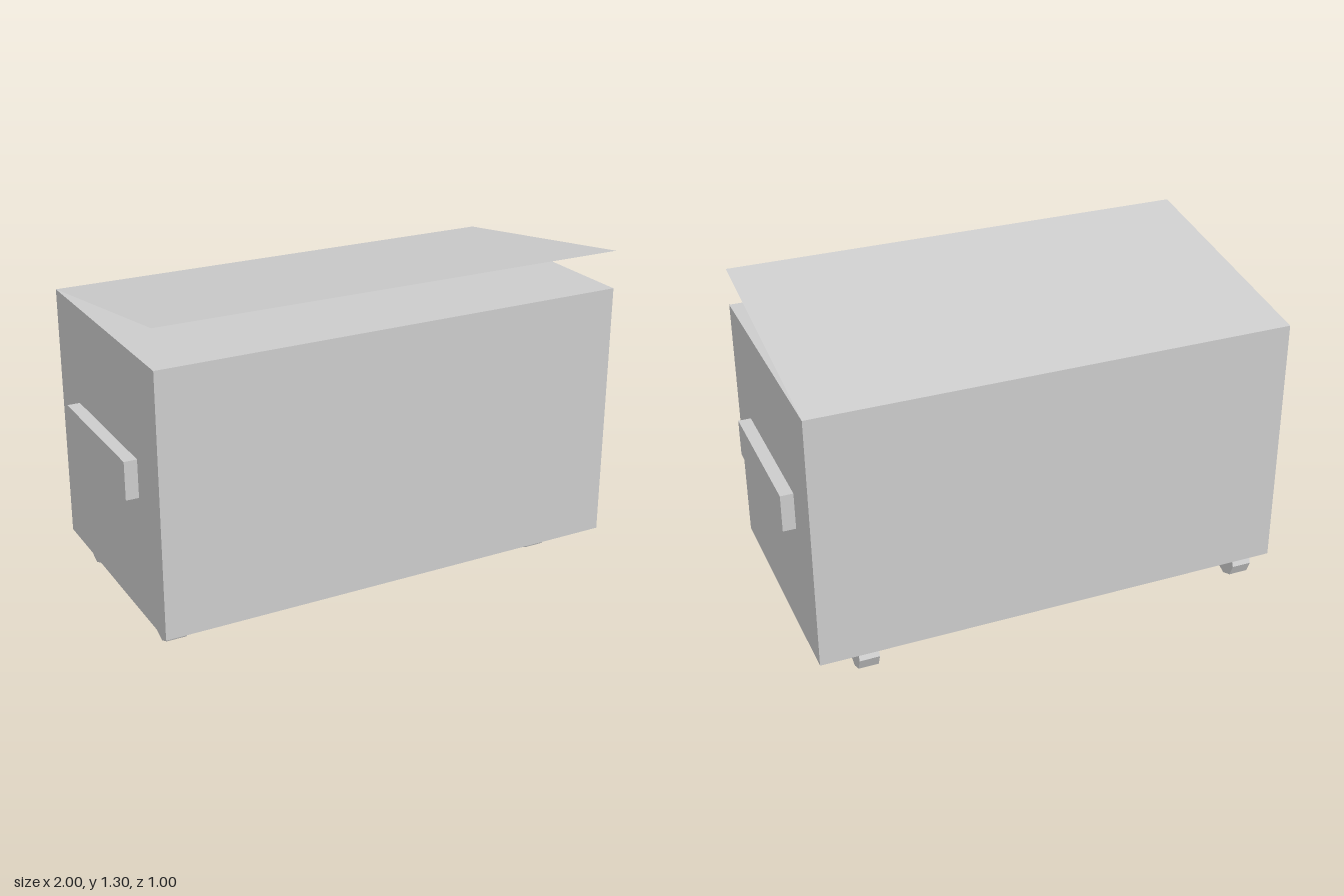
import * as THREE from 'three';

export function createModel() {
  const group = new THREE.Group();
  const grey = new THREE.MeshStandardMaterial({ color: 0xcccccc, flatShading: true, side: THREE.DoubleSide });
  grey.name = 'light grey';

  const add = (name, geometry, x, y, z) => {
    const mesh = new THREE.Mesh(geometry, grey);
    mesh.name = name;
    mesh.position.set(x, y, z);
    group.add(mesh);
    return mesh;
  };

  // Closed box body
  const bottom = 0.12, top = 1.15;
  add('body', new THREE.BoxGeometry(1.9, top - bottom, 1), 0, (top + bottom) / 2, 0);

  // Thin lid hinged on the back top edge, raised at the front
  const rise = 0.15;
  const lid = add('lid', new THREE.PlaneGeometry(1.9, Math.hypot(1, rise)), 0, top + rise / 2, 0);
  lid.rotation.x = -Math.PI / 2 - Math.atan(rise);

  // Grab bars on both ends
  for (const [name, side] of [['leftHandle', 1], ['rightHandle', -1]]) {
    add(name, new THREE.BoxGeometry(0.05, 0.15, 0.6), side * 0.975, 0.675, 0);
  }

  // Eight-sided wheels, set partly into the base
  const wheel = new THREE.CylinderGeometry(0.07, 0.07, 0.08, 8).rotateZ(Math.PI / 2);
  for (const [xName, x] of [['Left', 0.75], ['Right', -0.85]]) {
    for (const [zName, z] of [['front', 0.3], ['back', -0.4]]) {
      add(zName + xName + 'Wheel', wheel, x, 0.07, z);
    }
  }

  return group;
}
